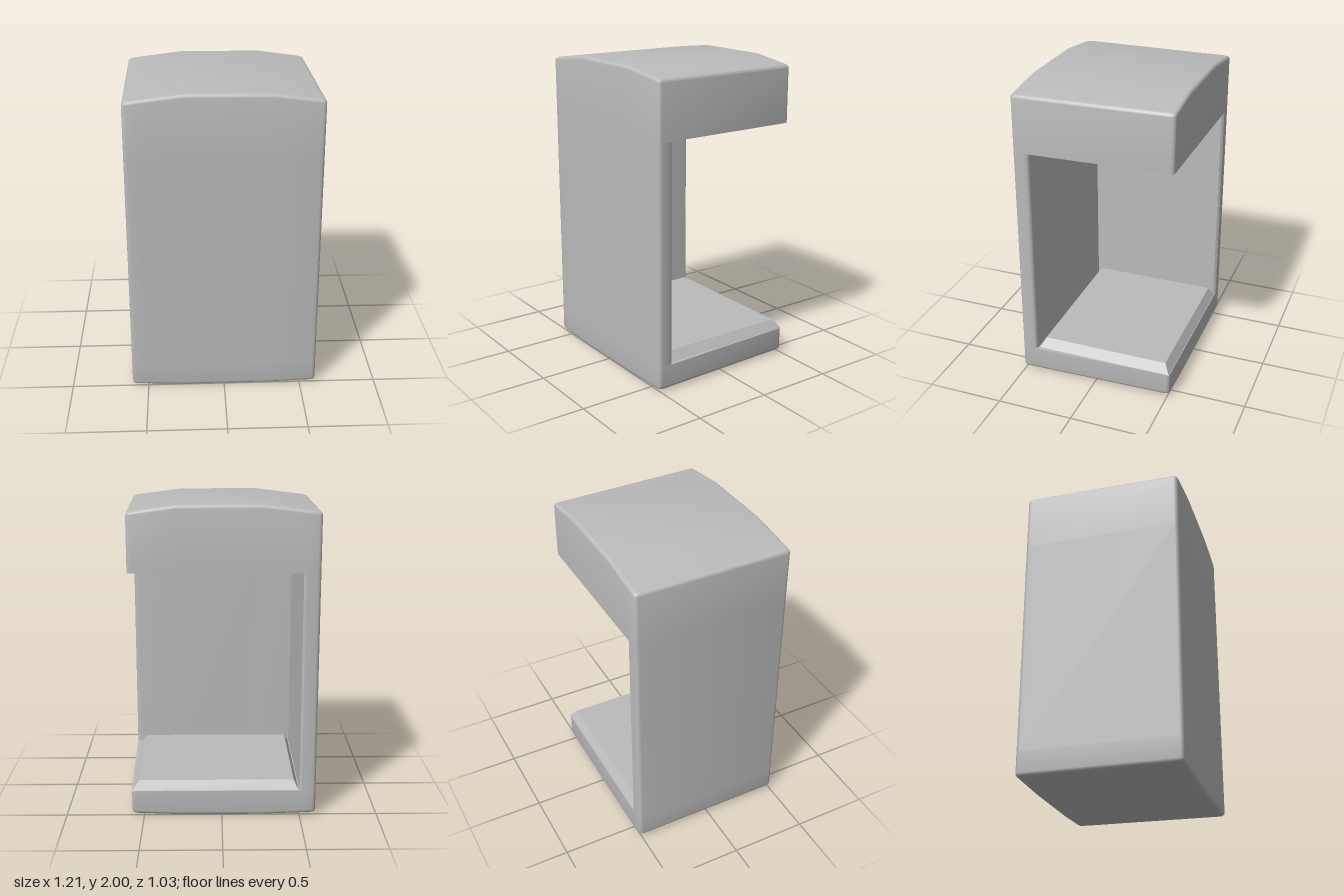
import * as THREE from 'three';
import { toCreasedNormals } from 'three/addons/utils/BufferGeometryUtils.js';

const W = 0.605, D = 0.513, R = 0.024;   // half width, half depth, edge radius
const WALL_X = -0.5, WALL_Z = 0.41;      // inner faces of the two walls

// Columns across the width: x, corner inset in z, and how the opening cuts the back
function makeColumns() {
  const arc = [];
  for (let i = 0; i <= 4; i++) {
    const a = (i / 4) * Math.PI / 2;
    arc.push([W - R * (1 - Math.cos(a)), R * (1 - Math.sin(a))]);
  }
  return [
    ...arc.map(([x, inset]) => ({ x: -x, inset, cut: 0 })),
    { x: WALL_X - 0.014, inset: 0, cut: 0 },
    { x: WALL_X, inset: 0, cut: 1 },
    { x: WALL_X, inset: 0, cut: 2 },
    { x: -0.25, inset: 0, cut: 2 },
    { x: 0.28, inset: 0, cut: 2 },
    ...arc.reverse().map(([x, inset]) => ({ x, inset, cut: 2 })),
  ];
}

// One horizontal outline; "open" makes it L-shaped, "bow" lowers or lifts the ends
function ring(columns, y, shrink, bow, open) {
  const place = (x, z) => {
    const slant = x > 0.5 ? 0.028 * (D - z) / (2 * D) : 0;
    const rise = bow * Math.max(0, (Math.abs(x) - 0.26) / (W - 0.26));
    return new THREE.Vector3((x - slant) * (1 - shrink / W), y + rise, z * (1 - shrink / D));
  };
  const front = columns.map((c) => place(c.x, D - c.inset));
  const back = columns.map((c) => {
    const z = open && c.cut === 2 ? WALL_Z : open && c.cut === 1 ? -D + 0.014 : -D;
    return place(c.x, z + c.inset);
  });
  return [...front, ...back.reverse()];
}

// Joins the outlines into a closed skin, with flat strips over both ends
function skin(rings) {
  const pos = [], n = rings[0].length;
  const tri = (a, b, c) => {
    const area = b.clone().sub(a).cross(c.clone().sub(a)).length();
    if (area > 1e-8) for (const p of [a, b, c]) pos.push(p.x, p.y, p.z);
  };
  const quad = (a, b, c, d) => { tri(a, b, c); tri(a, c, d); };
  for (let j = 0; j < rings.length - 1; j++) {
    for (let i = 0; i < n; i++) {
      const k = (i + 1) % n;
      quad(rings[j][i], rings[j][k], rings[j + 1][k], rings[j + 1][i]);
    }
  }
  const low = rings[0], high = rings[rings.length - 1];
  for (let i = 0; i < n / 2 - 1; i++) {
    quad(high[i], high[i + 1], high[n - 2 - i], high[n - 1 - i]);
    quad(low[n - 1 - i], low[n - 2 - i], low[i + 1], low[i]);
  }
  const g = new THREE.BufferGeometry();
  g.setAttribute('position', new THREE.Float32BufferAttribute(pos, 3));
  return toCreasedNormals(g, 0.7);
}

// Shell: base, two walls and roof in one piece, open at the left and back
function shellGeometry() {
  const columns = makeColumns();
  const rings = [];
  const steps = [0, 1, 2, 3, 4].map((i) => (i / 4) * Math.PI / 2);
  for (const a of steps) {
    rings.push(ring(columns, R * (1 - Math.cos(a)), R * (1 - Math.sin(a)), 0.012, false));
  }
  rings.push(ring(columns, 0.17, 0, 0, false));
  rings.push(ring(columns, 0.17, 0, 0, true));
  rings.push(ring(columns, 1.585, 0, 0, true));
  rings.push(ring(columns, 1.585, 0, 0, false));
  for (const a of steps) {
    rings.push(ring(columns, 2 - R * (1 - Math.sin(a)), R * (1 - Math.cos(a)), -0.043, false));
  }
  return skin(rings);
}

// Raised floor with sloping edges
function floorGeometry() {
  const h = 0.06, x0 = WALL_X + 0.005, x1 = 0.578, z0 = -D + 0.003, z1 = WALL_Z - 0.01;
  const g = new THREE.BoxGeometry(x1 - x0, h, z1 - z0);
  g.translate((x0 + x1) / 2, 0.168 + h / 2, (z0 + z1) / 2);
  const p = g.attributes.position;
  for (let i = 0; i < p.count; i++) {
    if (p.getY(i) < 0.2) continue;
    p.setX(i, p.getX(i) > 0 ? x1 - 0.045 : x0 + 0.03);
    p.setZ(i, p.getZ(i) > 0 ? z1 - 0.03 : z0 + 0.04);
  }
  return toCreasedNormals(g, 0.3);
}

export function createModel() {
  const grey = new THREE.MeshStandardMaterial({ color: 0xbbbbbb });
  grey.name = 'grey';
  const model = new THREE.Group();
  model.name = 'openCabinet';
  const add = (name, geometry) => {
    const mesh = new THREE.Mesh(geometry, grey);
    mesh.name = name;
    model.add(mesh);
  };
  add('shell', shellGeometry());
  add('raisedFloor', floorGeometry());
  return model;
}
